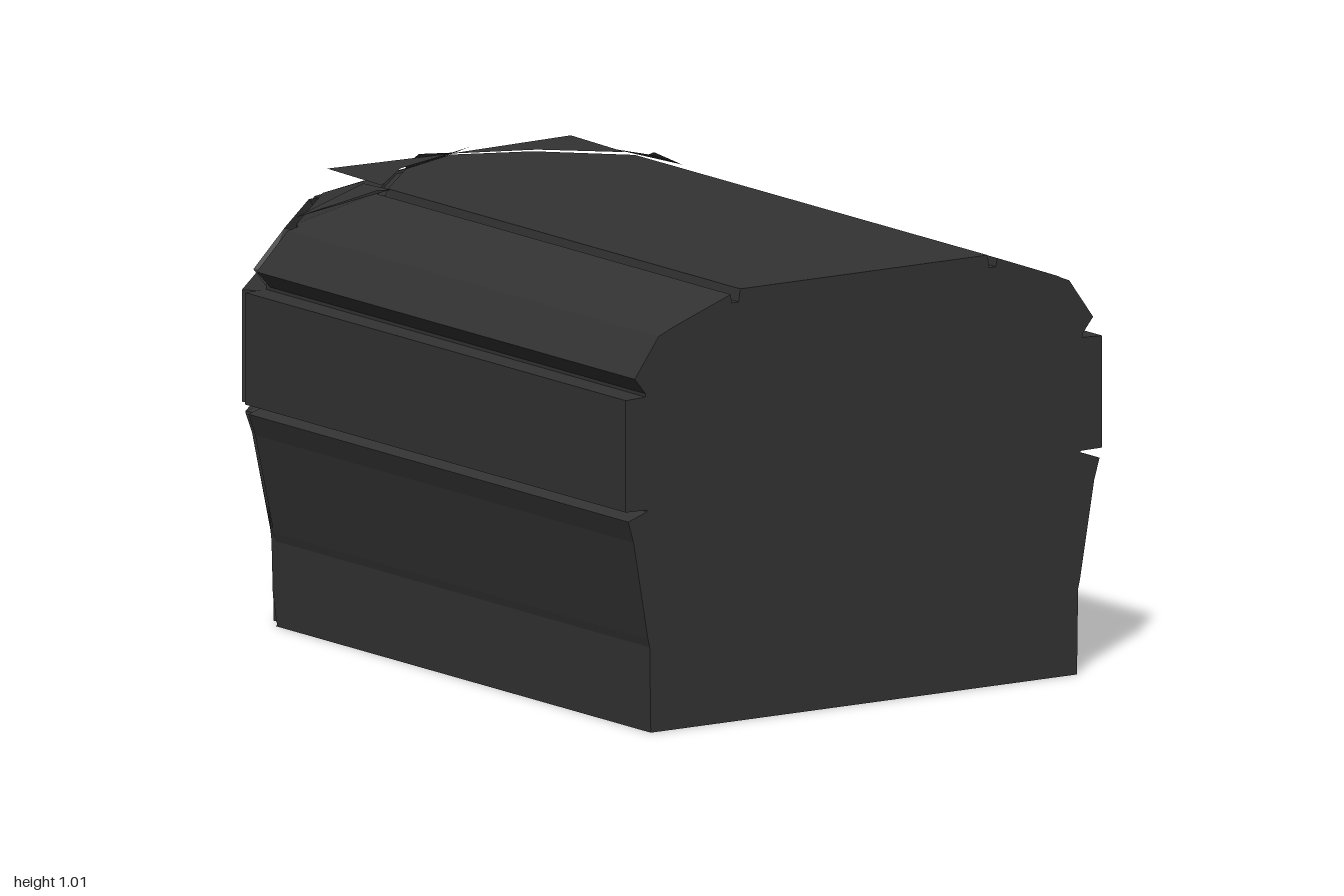
import * as THREE from 'three';

const charcoal = new THREE.MeshStandardMaterial({ color: 0x333333 });
charcoal.name = 'charcoal';
charcoal.flatShading = true;
const charcoalPlate = charcoal;
charcoalPlate.side = THREE.DoubleSide;

// Plan corners of the faceted rear, and how far each moves per unit of inset
const CORNERS = [[0.665, -0.55], [0.36, -0.865], [0, -1.006]];
const INSET = [[-1, 0.41], [-0.57, 0.87], [0, 1.07]];
const corner = (k, d) => [CORNERS[k][0] + INSET[k][0] * d, CORNERS[k][1] + INSET[k][1] * d];

function toward(a, b, s) {
  const l = Math.hypot(b[0] - a[0], b[1] - a[1]);
  return [a[0] + (b[0] - a[0]) * s / l, a[1] + (b[1] - a[1]) * s / l];
}

// Levels: height, inset, depth of the corner notches, drop of the rear part
const LEVELS = [
  [0, 0.07, 0, -0.07], [0.2, 0.067, 0, 0], [0.22, 0.062, 0.005, 0],
  [0.45, 0.022, 0.02, 0], [0.5, 0.007, 0.03, 0], [0.518, 0.06, 0, 0], [0.522, 0.06, 0, 0],
  [0.523, 0, 0.035, 0], [0.785, 0, 0.035, 0], [0.787, 0.055, 0, 0], [0.795, 0.055, 0, 0],
  [0.832, 0.025, 0.035, 0], [0.925, 0.092, 0.02, 0], [0.928, 0.1, 0, 0.025],
  [0.934, 0.115, 0, 0.025], [0.938, 0.122, 0, 0],
  [1.0, 0.293, 0, 0], [0.98, 0.296, 0, -0.015], [0.98, 0.315, 0, -0.015], [1.01, 0.32, 0, 0],
];

// One closed plan outline, from the left front round the rear to the right front
function ring([y, d, notch, drop]) {
  const s = 0.018, yr = y - drop;
  const [c0, c1, c2] = [0, 1, 2].map(k => corner(k, d));
  const [n0, n1, n2] = [0, 1, 2].map(k => corner(k, d + notch));
  const half = [
    [c0[0], 1, y], [c0[0], c0[1] + s, y],
    [...n0, yr], [...toward(c0, c1, s), yr],
    [...toward(c1, c0, s), yr], [...n1, yr], [...toward(c1, c2, s), yr],
    [...toward(c2, c1, s), yr],
  ].map(([x, z, h]) => new THREE.Vector3(x, h, z));
  const mirrored = half.map(p => new THREE.Vector3(-p.x, p.y, p.z)).reverse();
  return [...half, new THREE.Vector3(n2[0], yr, n2[1]), ...mirrored];
}

function facets(triangles) {
  const g = new THREE.BufferGeometry().setFromPoints(triangles);
  g.computeVertexNormals();
  return g;
}

function loft(rings) {
  const t = [];
  for (let j = 0; j < rings.length - 1; j++) {
    const a = rings[j], b = rings[j + 1];
    for (let i = 0; i < a.length - 1; i++) {
      t.push(a[i], a[i + 1], b[i], a[i + 1], b[i + 1], b[i]);
    }
  }
  return facets(t);
}

function flat(points) {
  return new THREE.ShapeGeometry(new THREE.Shape(points.map(p => new THREE.Vector2(p[0], p[1]))));
}

// Convex plate given as corner triples
function plate(points) {
  const v = points.map(p => new THREE.Vector3(...p)), t = [];
  for (let i = 1; i < v.length - 1; i++) t.push(v[0], v[i], v[i + 1]);
  return facets(t);
}

export function createModel() {
  const model = new THREE.Group();
  model.name = 'facetedHall';
  const add = (name, geometry, parent = model) => {
    const m = new THREE.Mesh(geometry, charcoal);
    m.name = name;
    parent.add(m);
    return m;
  };

  // Banded walls and stepped roof slopes
  const rings = LEVELS.map(ring);
  add('bandedWalls', loft(rings));

  // Flat roof, underside and front wall
  const top = rings[rings.length - 1];
  add('roof', flat(top.map(p => [p.x, -p.z])).rotateX(-Math.PI / 2).translate(0, 1.01, 0));
  const base = ring([0, 0.1, 0, 0]);
  add('rearUnderside', flat(rings[0].map(p => [p.x, p.z])).rotateX(Math.PI / 2).translate(0, 0.07, 0));
  add('underside', flat(base.map(p => [p.x < 0 ? Math.max(p.x - 0.03, -0.595) : Math.min(p.x + 0.03, 0.595), p.z]))
    .rotateX(Math.PI / 2));
  add('rearPlinth', loft([base, base.map(p => p.clone().setY(0.075))]));
  const side = LEVELS.map(([y, d]) => [0.665 - d, y]);
  add('frontWall', flat([...side, ...side.map(([x, y]) => [-x, y]).reverse()]).translate(0, 0, 1));

  // Stepped teeth under the faceted rear
  const teeth = new THREE.Group();
  teeth.name = 'baseTeeth';
  model.add(teeth);
  const tooth = new THREE.BoxGeometry(0.07, 0.074, 0.07);
  for (const sign of [-1, 1]) {
    for (const [k, count] of [[0, 5], [1, 6]]) {
      const a = corner(k, 0.112), b = corner(k + 1, 0.112);
      for (let i = 0; i < count; i++) {
        const f = (i + 0.5) / count;
        add('baseTooth', tooth, teeth).position.set(
          sign * (a[0] + (b[0] - a[0]) * f), 0.037, a[1] + (b[1] - a[1]) * f);
      }
    }
  }

  // Angular plates crowning the rear of the roof
  const crown = new THREE.Group();
  crown.name = 'roofCrown';
  model.add(crown);
  for (const s of [-1, 1]) {
    add('cornerPlate', plate([[s * 0.34, 1.015, -0.67], [0, 1.012, -0.665],
      [s * 0.19, 1.012, -0.59], [s * 0.34, 1.012, -0.45]]), crown);
    add('sidePlate', plate([[s * 0.36, 1.015, -0.385], [s * 0.385, 1.015, -0.4],
      [s * 0.54, 0.95, -0.51], [s * 0.35, 1.008, -0.51]]), crown);
  }
  add('centrePlate', plate([[0, 1.015, -0.66], [0.07, 1.015, -0.69],
    [0.035, 0.965, -0.8], [0, 0.948, -0.84], [-0.035, 0.965, -0.8], [-0.07, 1.015, -0.69]]), crown);

  return model;
}
